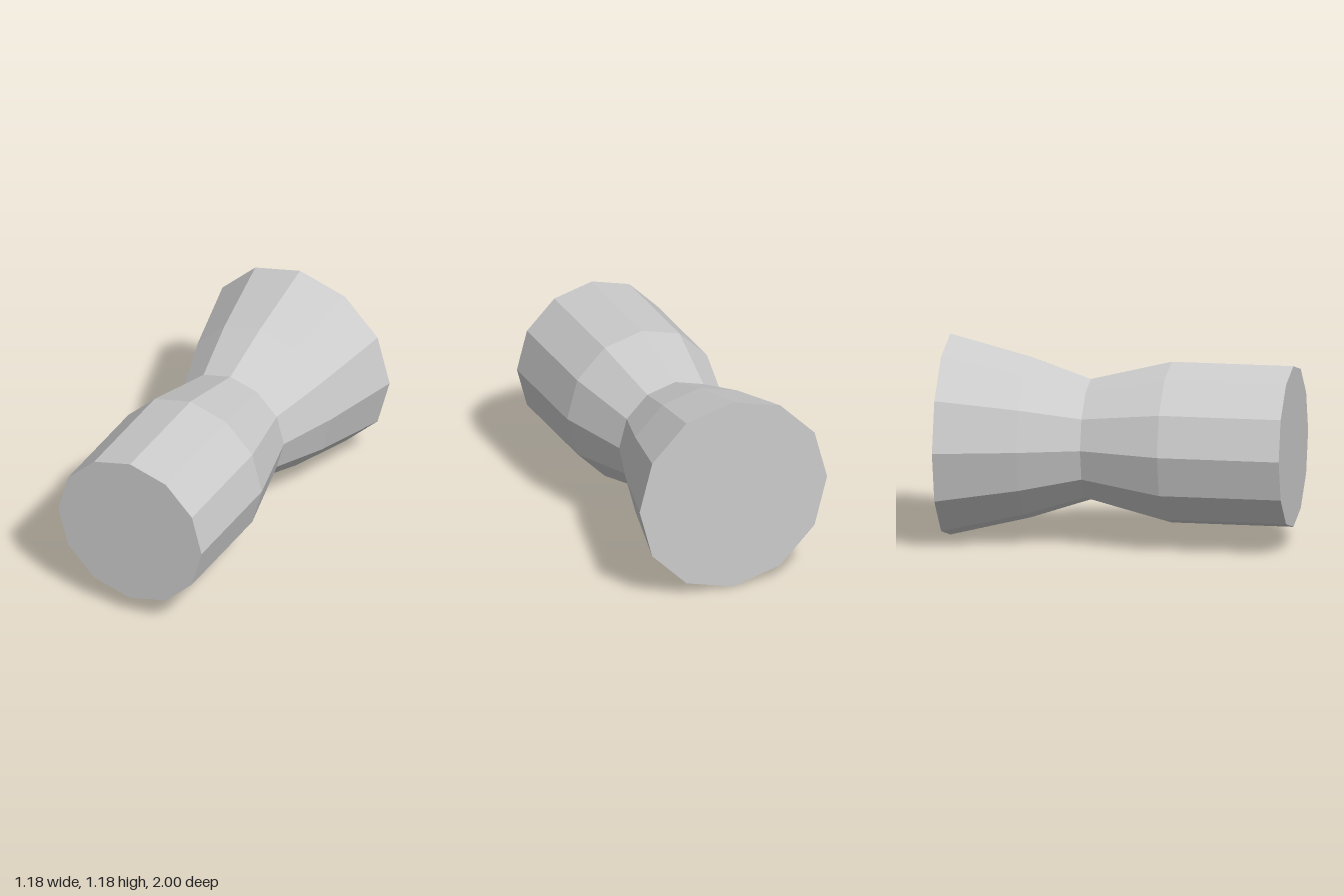
import * as THREE from 'three';

export function createModel() {
  const group = new THREE.Group();
  const sides = 12;

  // Profile as [radius, z], from the wide back cap to the front cap
  const profile = [
    [0, -1],
    [0.588, -1],
    [0.47, -0.53],
    [0.352, -0.18],
    [0.47, 0.29],
    [0.47, 1],
    [0, 1],
  ].map(([r, z]) => new THREE.Vector2(r, z));

  // Twelve-sided waisted body, turned so its axis runs along z
  const geometry = new THREE.LatheGeometry(profile, sides);
  geometry.rotateX(Math.PI / 2);

  const material = new THREE.MeshStandardMaterial({ color: 0xcccccc, flatShading: true });
  const body = new THREE.Mesh(geometry, material);
  body.name = 'waistedBody';
  body.position.y = 0.588;
  group.add(body);

  return group;
}
